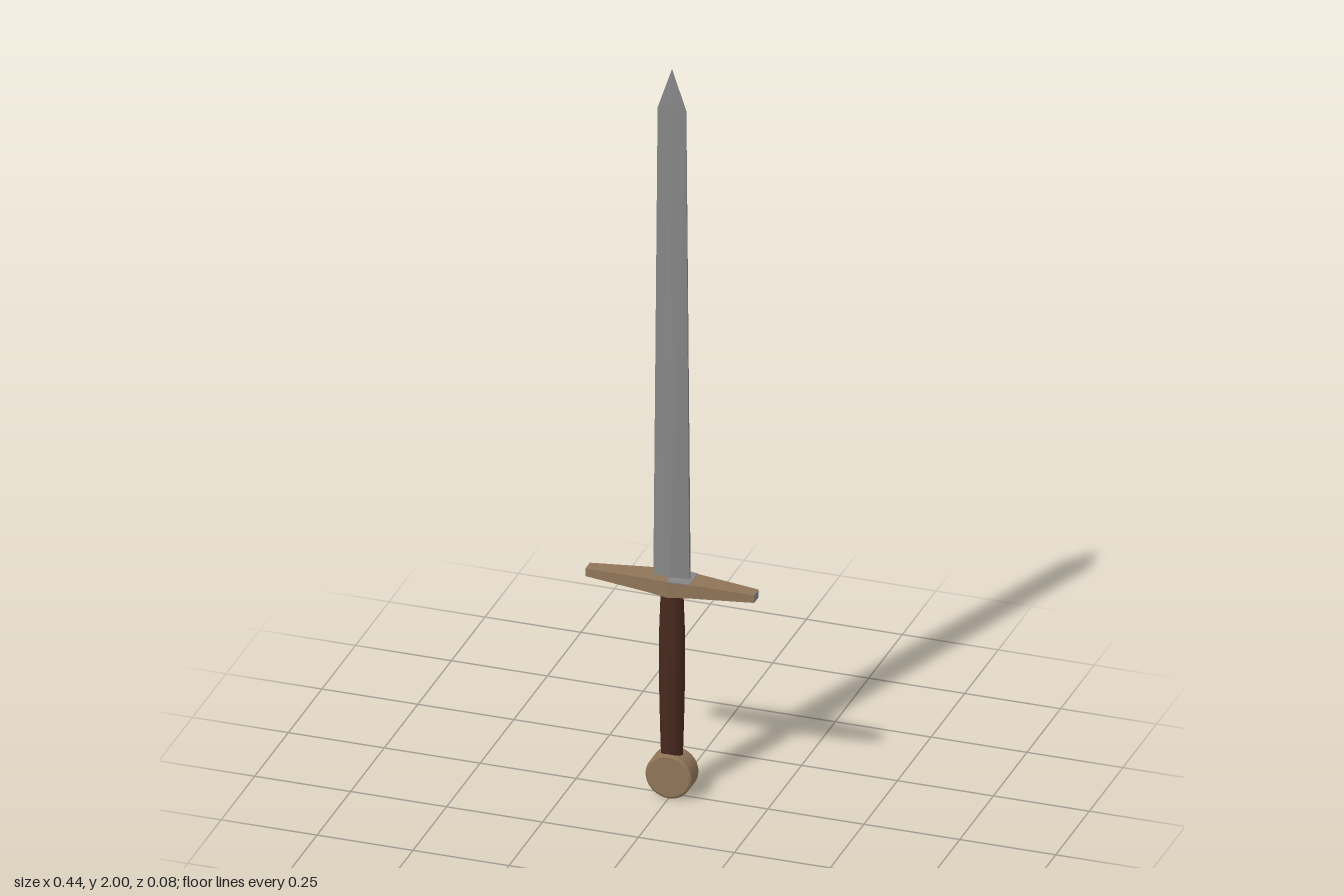
import * as THREE from 'three';

const mat = (name, color) => {
  const m = new THREE.MeshStandardMaterial({ color });
  m.name = name;
  return m;
};

// Skin a list of equal-length rings, closing both ends with fans; faceted normals.
function loft(rings) {
  const pos = [];
  const tri = (...pts) => pts.forEach((p) => pos.push(...p));
  const n = rings[0].length;
  for (let i = 0; i < rings.length - 1; i++) {
    for (let j = 0; j < n; j++) {
      const k = (j + 1) % n;
      const [a, b, c, d] = [rings[i][j], rings[i][k], rings[i + 1][k], rings[i + 1][j]];
      tri(a, b, c);
      tri(a, c, d);
    }
  }
  const first = rings[0], last = rings[rings.length - 1];
  for (let j = 1; j < n - 1; j++) {
    tri(first[0], first[j + 1], first[j]);
    tri(last[0], last[j], last[j + 1]);
  }
  const g = new THREE.BufferGeometry();
  g.setAttribute('position', new THREE.Float32BufferAttribute(pos, 3));
  g.computeVertexNormals();
  return g;
}

export function createModel() {
  const group = new THREE.Group();
  const steel = mat('steel', 0x868686);
  const bronze = mat('bronze', 0x8f7558);
  const leather = mat('leather', 0x47281e);
  const add = (name, geometry, material) => {
    const mesh = new THREE.Mesh(geometry, material);
    mesh.name = name;
    group.add(mesh);
    return mesh;
  };

  // Blade: ridged hexagonal section [height, half width, half ridge depth, half edge depth]
  const bladeRing = ([y, w, d, e]) => [
    [w, y, e], [w, y, -e], [0, y, -d], [-w, y, -e], [-w, y, e], [0, y, d],
  ];
  add('blade', loft([
    [0.59, 0.047, 0.014, 0.005],
    [1.89, 0.037, 0.004, 0.0015],
    [2.0, 0.0005, 0.0004, 0.0002],
  ].map(bladeRing)), steel);

  // Crossguard: tapers from the middle to both ends [x, bottom, top, half depth]
  const guardRing = ([x, y0, y1, d]) => [[x, y0, -d], [x, y1, -d], [x, y1, d], [x, y0, d]];
  add('crossguard', loft([
    [-0.219, 0.572, 0.593, 0.017],
    [-0.057, 0.564, 0.601, 0.032],
    [0, 0.56, 0.603, 0.039],
    [0.057, 0.564, 0.601, 0.032],
    [0.219, 0.572, 0.593, 0.017],
  ].map(guardRing)), bronze);

  // Thin steel plate on top of the guard, and steel faces on its ends
  add('guardPlate', loft([
    [0, 0.602, 0.6045, 0.039],
    [0.057, 0.6, 0.6025, 0.032],
  ].map(guardRing)), steel);
  for (const s of [1, -1]) {
    const cap = add('guardEnd', new THREE.BoxGeometry(0.002, 0.021, 0.034), steel);
    cap.position.set(s * 0.219, 0.5825, 0);
  }

  // Grip: slightly swollen oval handle
  const gripProfile = [[0.028, 0.1], [0.031, 0.2], [0.034, 0.34], [0.034, 0.43], [0.029, 0.565]];
  const grip = add('grip', new THREE.LatheGeometry(
    gripProfile.map(([r, y]) => new THREE.Vector2(r, y)), 12), leather);
  grip.scale.z = 0.85;

  // Pommel: disc facing front and back with a narrow bevelled rim
  const rim = [[0, -0.03], [0.054, -0.03], [0.054, -0.03], [0.06, -0.026],
    [0.06, -0.026], [0.06, 0.026], [0.06, 0.026], [0.054, 0.03], [0.054, 0.03], [0, 0.03]];
  const pommel = new THREE.Group();
  pommel.name = 'pommel';
  for (let i = 0; i < rim.length; i += 2) {
    const band = new THREE.Mesh(new THREE.LatheGeometry(
      [rim[i], rim[i + 1]].map(([r, y]) => new THREE.Vector2(r, y)), 32), bronze);
    band.name = 'pommelBand';
    pommel.add(band);
  }
  pommel.rotation.x = Math.PI / 2;
  pommel.position.y = 0.06;
  group.add(pommel);

  return group;
}
